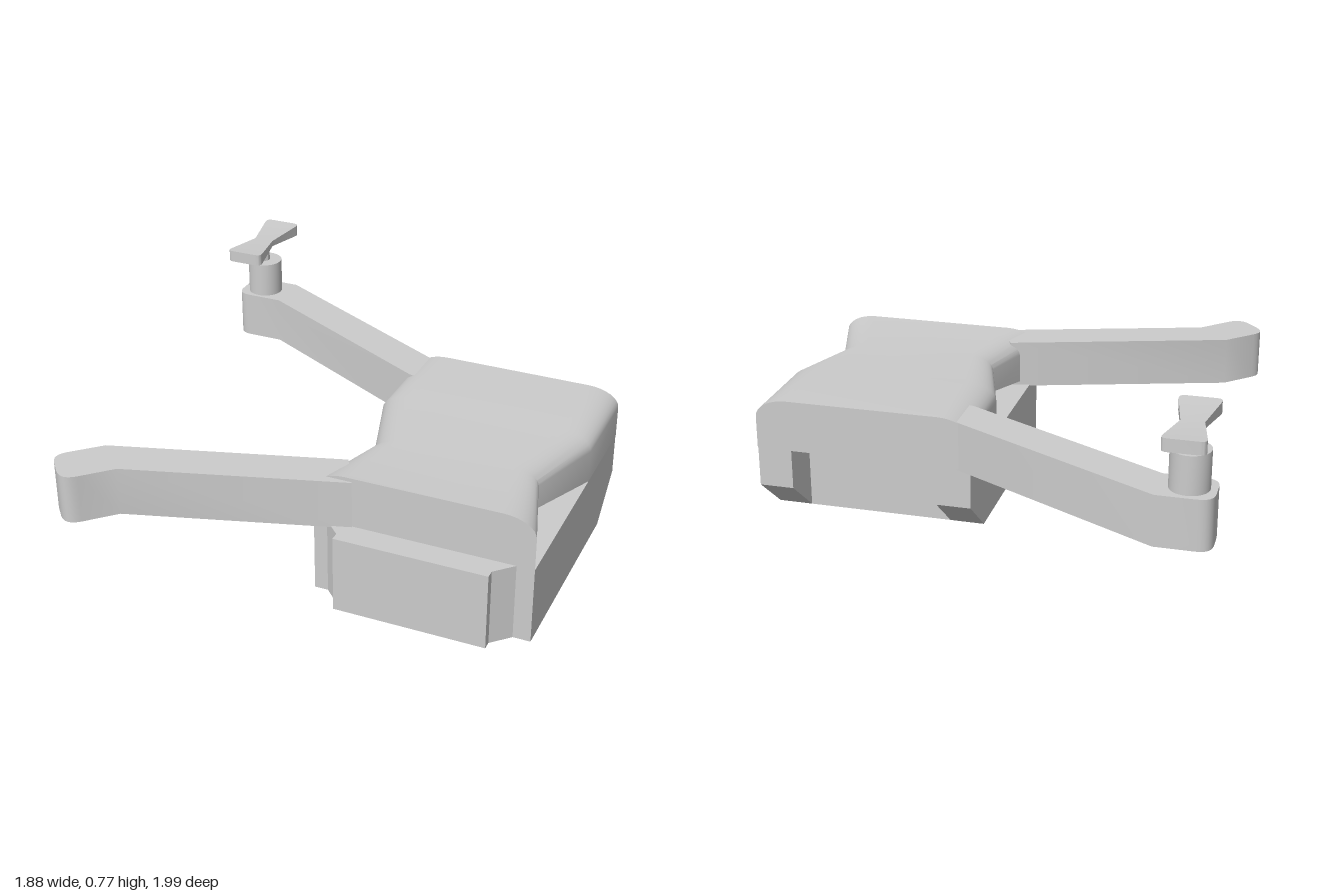
import * as THREE from 'three';
import { toCreasedNormals } from 'three/addons/utils/BufferGeometryUtils.js';

const material = new THREE.MeshStandardMaterial({ color: 0xcccccc });

// Closed shape from [x, y, cornerRadius] points
function outline(points) {
  const shape = new THREE.Shape();
  const n = points.length;
  points.forEach(([x, y, r = 0], i) => {
    const p = new THREE.Vector2(x, y);
    const toward = (q) => new THREE.Vector2(q[0], q[1]).sub(p).setLength(r).add(p);
    const a = toward(points[(i + n - 1) % n]);
    const b = toward(points[(i + 1) % n]);
    if (i === 0) shape.moveTo(a.x, a.y);
    else shape.lineTo(a.x, a.y);
    if (r > 0) shape.quadraticCurveTo(x, y, b.x, b.y);
  });
  shape.closePath();
  return shape;
}

// Plan outline in (x, z) raised between two heights
function slab(points, bottom, top) {
  const g = new THREE.ExtrudeGeometry(outline(points), { depth: top - bottom, bevelEnabled: false, curveSegments: 6 });
  return g.rotateX(Math.PI / 2).translate(0, top, 0);
}

// Upper shell: round-shouldered section, pinched at the waist
function shellGeometry() {
  const section = [[-0.44, 0], [0.44, 0]];
  const steps = 8;
  for (const side of [1, -1]) {
    for (let k = 0; k <= steps; k++) {
      const a = (Math.PI / 2) * ((side > 0 ? k : steps - k) / steps);
      section.push([side * (0.31 + 0.13 * Math.cos(a)), 0.135 + 0.075 * Math.sin(a)]);
    }
  }
  // z, width scale, bottom, height scale
  const stations = [[-0.46, 1, 0.32, 1], [-0.07, 1, 0.32, 1], [0.26, 0.76, 0.36, 0.74], [0.6, 1, 0.32, 1]];
  const n = section.length;
  const position = [];
  const index = [];
  for (const [z, sx, bottom, sy] of stations)
    for (const [x, y] of section) position.push(0.5 + x * sx, bottom + y * sy, z);
  for (let i = 0; i < stations.length - 1; i++) {
    for (let j = 0; j < n; j++) {
      const a = i * n + j;
      const b = i * n + ((j + 1) % n);
      index.push(a, b, a + n, b, b + n, a + n);
    }
  }
  const last = (stations.length - 1) * n;
  for (let j = 1; j < n - 1; j++) index.push(0, j + 1, j, last, last + j, last + j + 1);
  const g = new THREE.BufferGeometry();
  g.setAttribute('position', new THREE.Float32BufferAttribute(position, 3));
  g.setIndex(index);
  return g;
}

export function createModel() {
  const model = new THREE.Group();
  model.name = 'halfDrone';
  const add = (name, geometry, parent = model) => {
    const mesh = new THREE.Mesh(toCreasedNormals(geometry, 0.55), material);
    mesh.name = name;
    parent.add(mesh);
    return mesh;
  };

  add('upperShell', shellGeometry());

  // Lower hull with a stepped nose
  add('lowerHull', slab([
    [0.06, -0.27], [0.94, -0.27], [0.94, 0.6], [0.87, 0.6], [0.8, 0.67], [0.8, 0.705],
    [0.185, 0.705], [0.185, 0.67], [0.115, 0.6], [0.06, 0.6],
  ], 0, 0.32));

  // Rear ears, sloped underneath, either side of the recess
  for (const x of [0.06, 0.8]) {
    const profile = outline([[-0.27, 0], [-0.27, 0.32], [-0.455, 0.32], [-0.455, 0.155]]);
    const ear = new THREE.ExtrudeGeometry(profile, { depth: 0.14, bevelEnabled: false });
    add('rearEar', ear.rotateY(-Math.PI / 2).translate(x + 0.14, 0, 0));
  }

  // Arms
  add('rearArm', slab([
    [0.2, -0.41], [0.09, -0.468], [-0.73, -0.9], [-0.94, -0.9, 0.06],
    [-0.94, -0.715, 0.06], [-0.73, -0.715], [0.09, -0.282], [0.2, -0.25],
  ], 0.315, 0.515));
  add('frontArm', slab([
    [0.14, 0.455], [-0.76, 0.73], [-0.91, 0.875, 0.06],
    [-0.785, 1.02, 0.07], [-0.63, 0.865], [0.22, 0.605],
  ], 0.315, 0.515));

  // Motor and propeller on the rear arm
  const rotor = new THREE.Group();
  rotor.name = 'rotor';
  rotor.position.set(-0.84, 0, -0.805);
  model.add(rotor);
  add('motor', new THREE.CylinderGeometry(0.075, 0.075, 0.155, 32).translate(0, 0.5875, 0), rotor);
  add('shaft', new THREE.CylinderGeometry(0.022, 0.022, 0.09, 24).translate(0, 0.705, 0), rotor);

  // Bow-tie blade, thinner toward the hub
  const blade = slab([
    [-0.083, -0.2, 0.03], [0.083, -0.2, 0.03], [0.043, 0],
    [0.083, 0.2, 0.03], [-0.083, 0.2, 0.03], [-0.043, 0],
  ], -0.025, 0.025);
  const p = blade.attributes.position;
  for (let i = 0; i < p.count; i++) p.setY(i, p.getY(i) * (0.5 + 2.5 * Math.abs(p.getZ(i))));
  blade.computeVertexNormals();
  add('propeller', blade.translate(0, 0.75, 0.005), rotor);

  return model;
}
